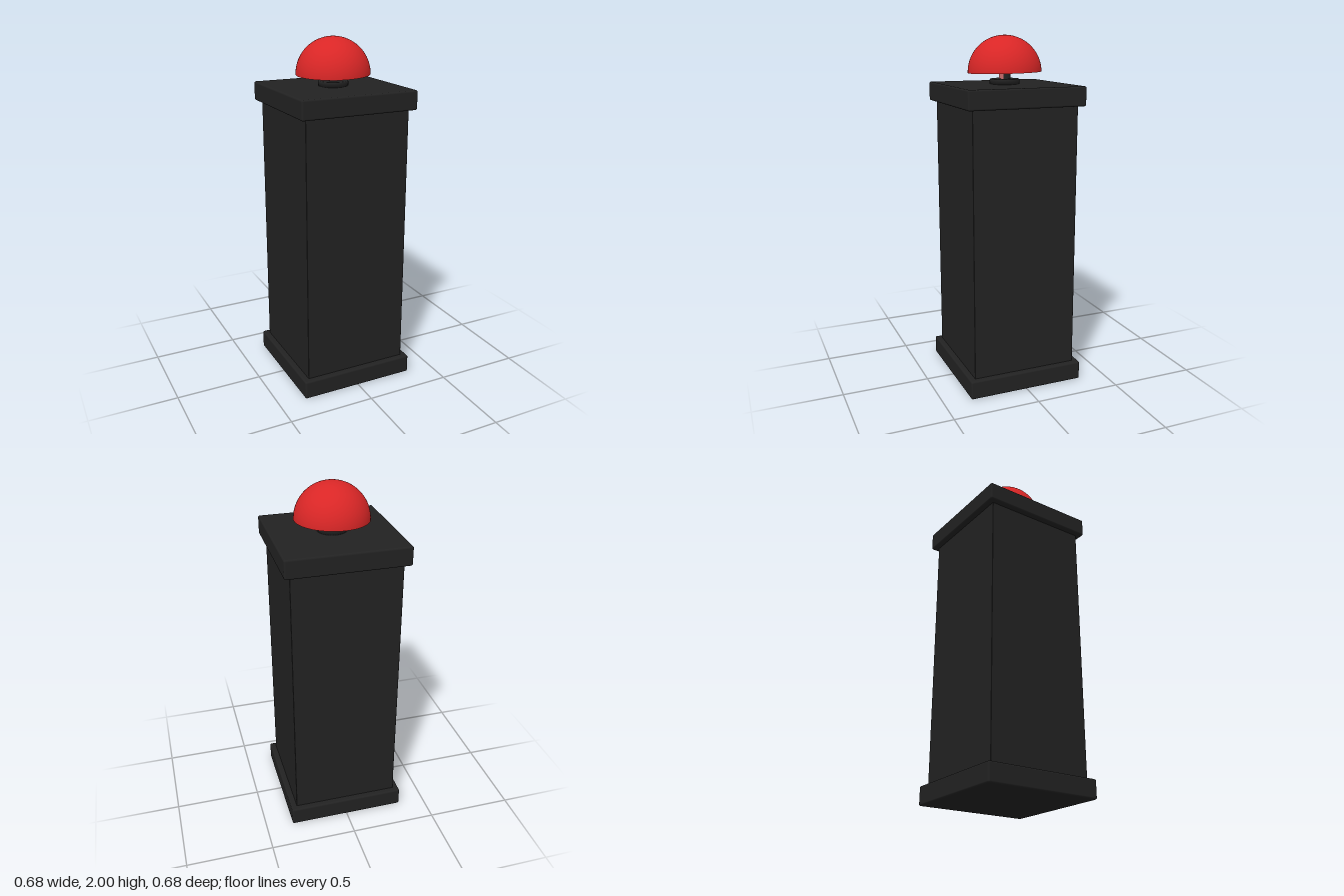
import * as THREE from 'three';
import { RoundedBoxGeometry } from 'three/addons/geometries/RoundedBoxGeometry.js';

export function createModel() {
  const black = new THREE.MeshStandardMaterial({ color: 0x222222 });
  const red = new THREE.MeshStandardMaterial({ color: 0xd92626 });
  const palePink = new THREE.MeshStandardMaterial({ color: 0xc46a6a, side: THREE.DoubleSide });
  black.name = 'black';
  red.name = 'red';
  palePink.name = 'palePink';

  const model = new THREE.Group();
  model.name = 'buttonPedestal';
  const add = (name, geometry, material, y) => {
    const mesh = new THREE.Mesh(geometry, material);
    mesh.name = name;
    mesh.position.y = y;
    model.add(mesh);
    return mesh;
  };

  // Square pedestal: plinth, shaft and cap slab with softened edges
  const slab = new RoundedBoxGeometry(0.684, 0.108, 0.684, 3, 0.01);
  add('plinth', slab, black, 0.054);
  add('shaft', new RoundedBoxGeometry(0.616, 1.56, 0.616, 2, 0.004), black, 0.865);
  add('capSlab', slab, black, 1.676);

  // Round collar with a rounded upper edge
  const collar = [[0, 0], [0.085, 0], [0.085, 0.024], [0.083, 0.029], [0.078, 0.031], [0, 0.031]]
    .map(([x, y]) => new THREE.Vector2(x, y));
  add('collar', new THREE.LatheGeometry(collar, 40), black, 1.729);

  // Stem with a pale strip on its front
  add('stem', new THREE.CylinderGeometry(0.032, 0.032, 0.08, 32), black, 1.79);
  add('stemFrontStrip',
    new THREE.CylinderGeometry(0.033, 0.033, 0.042, 16, 1, true, -1, 2), palePink, 1.779);

  // Domed push button, very slightly tilted, with a flat underside
  const button = new THREE.Group();
  button.name = 'button';
  button.position.y = 1.795;
  button.rotation.set(0.018, 0, 0.018);
  const dome = new THREE.Mesh(
    new THREE.SphereGeometry(0.208, 64, 24, 0, Math.PI * 2, 0, Math.PI / 2), red);
  dome.name = 'dome';
  dome.scale.y = 0.205 / 0.208;
  const underside = new THREE.Mesh(new THREE.CircleGeometry(0.208, 64), red);
  underside.name = 'underside';
  underside.rotation.x = Math.PI / 2;
  button.add(dome, underside);
  model.add(button);

  return model;
}
